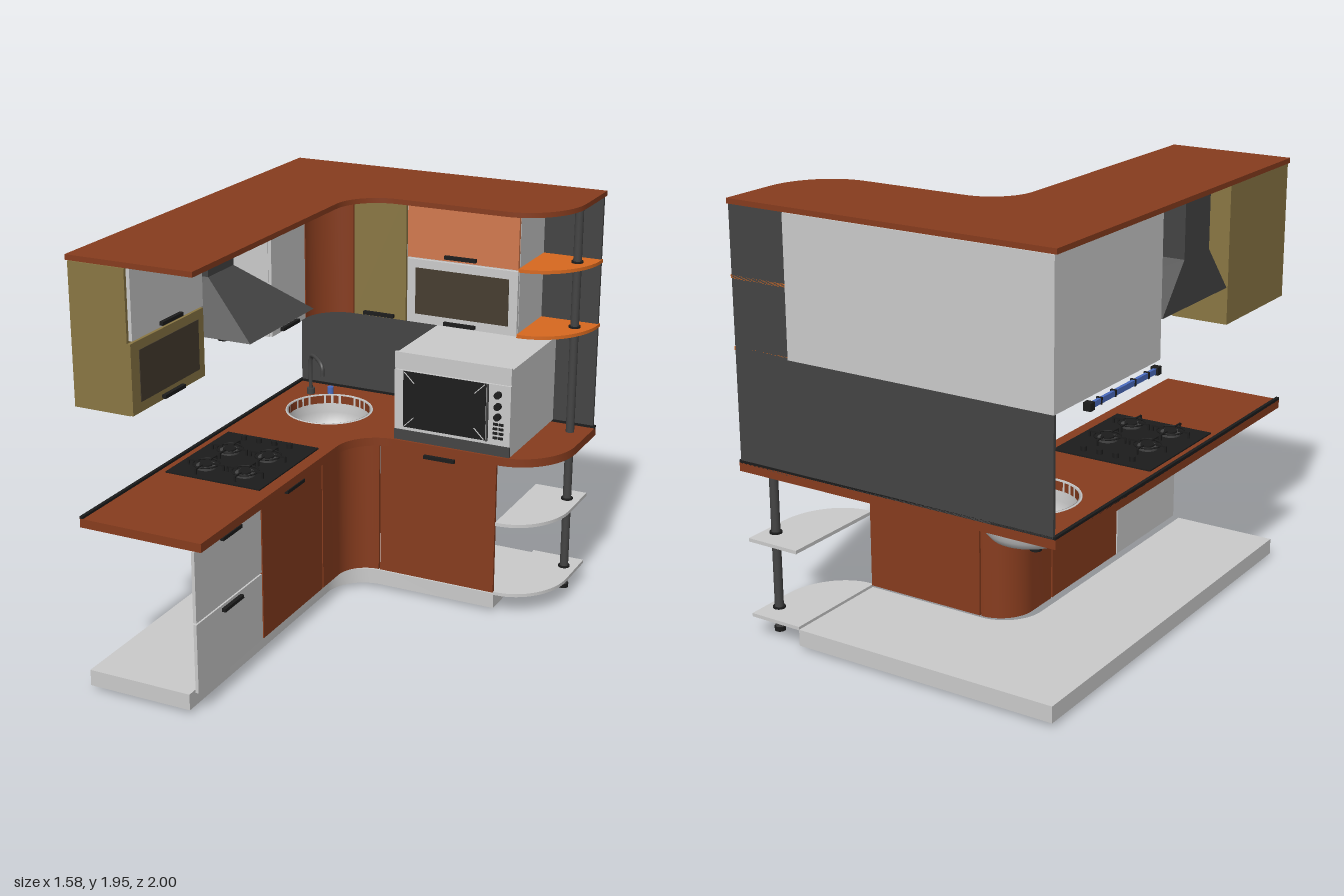
import * as THREE from 'three';
import { toCreasedNormals } from 'three/addons/utils/BufferGeometryUtils.js';

const C = { grey: 0xcccccc, brown: 0x873c1e, olive: 0x8a7744, dark: 0x444444, black: 0x1c1c1c,
  glass: 0x463d30, salmon: 0xd37a4f, orange: 0xd8691f, blue: 0x4a6cc0 };
const mats = {};
const mat = (c) => (mats[c] ??= new THREE.MeshStandardMaterial({ color: C[c], side: THREE.DoubleSide }));

export function createModel() {
  const root = new THREE.Group();

  const add = (name, geo, color, x = 0, y = 0, z = 0) => {
    const m = new THREE.Mesh(geo, mat(color));
    m.name = name;
    m.position.set(x, y, z);
    root.add(m);
    return m;
  };
  const box = (name, color, x0, x1, y0, y1, z0, z1) =>
    add(name, new THREE.BoxGeometry(x1 - x0, y1 - y0, z1 - z0), color, (x0 + x1) / 2, (y0 + y1) / 2, (z0 + z1) / 2);
  const cyl = (name, color, r, h, x, y, z, r2 = r, seg = 20) =>
    add(name, new THREE.CylinderGeometry(r, r2, h, seg), color, x, y, z);

  // Horizontal slab: shape drawn in (x, z), filling y0..y1
  const slab = (name, color, shape, y0, y1) => {
    const g = new THREE.ExtrudeGeometry(shape, { depth: y1 - y0, bevelEnabled: false, curveSegments: 16 });
    g.rotateX(Math.PI / 2);
    return add(name, toCreasedNormals(g, 0.5), color, 0, y1, 0);
  };
  // Quarter ellipse from the current point to (x, z), bulging towards the corner (cx, cz)
  const quarter = (s, cx, cz, x, z) => {
    const p = s.currentPoint, k = 0.552;
    s.bezierCurveTo(p.x + (cx - p.x) * k, p.y + (cz - p.y) * k, x + (cx - x) * k, z + (cz - z) * k, x, z);
  };
  // L-shaped plan with a rounded inner corner and an optional rounded outer end
  const lShape = ({ x0 = -0.79, x1, xi, zi, r, zEnd, rx = 0, rz = 0 }) => {
    const s = new THREE.Shape();
    s.moveTo(x0, -1);
    s.lineTo(x1, -1);
    s.lineTo(x1, zi - rz);
    if (rx) quarter(s, x1, zi, x1 - rx, zi);
    s.lineTo(xi + r, zi);
    quarter(s, xi, zi, xi, zi + r);
    s.lineTo(xi, zEnd);
    s.lineTo(x0, zEnd);
    s.closePath();
    return s;
  };
  // Thin concave corner door from (xi, zA) round to (xB, zi)
  const cornerDoor = (name, xi, zi, r, zA, xB, y0, y1, t = 0.015) => {
    const s = new THREE.Shape();
    s.moveTo(xi, zA);
    s.lineTo(xi, zi + r);
    quarter(s, xi, zi, xi + r, zi);
    s.lineTo(xB, zi);
    s.lineTo(xB, zi - t);
    s.lineTo(xi + r, zi - t);
    quarter(s, xi - t, zi - t, xi - t, zi + r);
    s.lineTo(xi - t, zA);
    s.closePath();
    slab(name, 'brown', s, y0, y1);
  };
  const handleX = (x, y, z) => box('handle', 'black', x - 0.078, x + 0.078, y - 0.008, y + 0.008, z, z + 0.018);
  const handleZ = (x, y, z) => box('handle', 'black', x, x + 0.018, y - 0.008, y + 0.008, z - 0.08, z + 0.08);

  // Plinth, worktop and cornice
  const plan = { x1: 0.79, xi: -0.2, zi: -0.43, r: 0.2, zEnd: 1, rx: 0.27, rz: 0.29 };
  slab('plinth', 'grey', lShape({ x0: -0.78, x1: 0.5, xi: -0.28, zi: -0.475, r: 0.19, zEnd: 1 }), 0.02, 0.095);
  const top = lShape(plan), SX = -0.46, SZ = -0.66;
  top.holes.push(new THREE.Path().absarc(SX, SZ, 0.2, 0, Math.PI * 2, true));
  slab('worktop', 'brown', top, 0.767, 0.807);
  slab('cornice', 'brown', lShape(plan), 1.93, 1.953);
  box('worktopEdgeStrip', 'black', -0.79, -0.775, 0.8, 0.818, -1, 1);
  box('worktopBackStrip', 'black', -0.79, 0.79, 0.8, 0.818, -1, -0.98);

  // Back wall panels
  box('splashback', 'dark', -0.78, 0.78, 0.8, 1.31, -1, -0.985);
  box('shelfBackPanel', 'dark', 0.5, 0.78, 1.31, 1.93, -1, -0.985);

  // Lower fronts
  box('lowerDrawer', 'grey', -0.255, -0.24, 0.105, 0.425, 0.43, 0.99);
  box('upperDrawer', 'grey', -0.255, -0.24, 0.433, 0.757, 0.43, 0.99);
  box('sideDoor', 'brown', -0.255, -0.24, 0.105, 0.757, -0.15, 0.42);
  cornerDoor('lowerCornerDoor', -0.24, -0.465, 0.145, -0.16, -0.095, 0.105, 0.757);
  box('backDoor', 'brown', -0.087, 0.5, 0.105, 0.757, -0.48, -0.465);
  handleZ(-0.24, 0.735, 0.7);
  handleZ(-0.24, 0.403, 0.7);
  handleZ(-0.24, 0.735, 0.13);
  handleX(0.217, 0.735, -0.465);

  // Corner wall cabinets
  slab('cornerWallCabinet', 'grey', lShape({ x0: -0.78, x1: 0.5, xi: -0.516, zi: -0.686, r: 0.17, zEnd: -0.17 }), 1.31, 1.928);
  box('leftWallDoor', 'grey', -0.516, -0.5, 1.312, 1.925, -0.495, -0.172);
  cornerDoor('upperCornerDoor', -0.5, -0.67, 0.168, -0.502, -0.332, 1.312, 1.925);
  box('oliveDoor', 'olive', -0.328, -0.06, 1.312, 1.925, -0.686, -0.67);
  box('liftDoor', 'salmon', -0.052, 0.498, 1.625, 1.925, -0.686, -0.67);
  box('glassDoorFrame', 'grey', -0.052, 0.498, 1.312, 1.617, -0.686, -0.67);
  box('glassPane', 'glass', -0.01, 0.455, 1.355, 1.577, -0.675, -0.667);
  handleZ(-0.5, 1.327, -0.33);
  handleX(-0.195, 1.327, -0.67);
  handleX(0.217, 1.645, -0.67);
  handleX(0.217, 1.327, -0.67);

  // End wall cabinet
  box('endWallCabinet', 'olive', -0.78, -0.514, 1.31, 1.928, 0.432, 1);
  box('endLiftDoor', 'grey', -0.514, -0.498, 1.625, 1.925, 0.434, 0.985);
  box('endGlassDoor', 'olive', -0.514, -0.498, 1.312, 1.617, 0.434, 1);
  box('endGlassPane', 'glass', -0.502, -0.495, 1.355, 1.577, 0.48, 0.94);
  handleZ(-0.498, 1.643, 0.7);
  handleZ(-0.498, 1.327, 0.7);

  // Cooker hood: chimney above a canopy tapered from a box
  box('hoodChimney', 'dark', -0.78, -0.585, 1.69, 1.93, 0.02, 0.24);
  const canopy = new THREE.BoxGeometry(0.5, 0.21, 0.58).translate(0.25, 0.105, 0);
  const p = canopy.attributes.position;
  for (let i = 0; i < p.count; i++) {
    if (p.getY(i) > 0.1) {
      p.setX(i, p.getX(i) * 0.39);
      p.setZ(i, p.getZ(i) * 0.38);
    }
  }
  canopy.computeVertexNormals();
  add('hoodCanopy', canopy, 'dark', -0.78, 1.48, 0.13);

  // Rounded end shelves
  const shelf = (name, color, x1, zf, rx, rz, y) => {
    const s = new THREE.Shape();
    s.moveTo(0.5, -1);
    s.lineTo(x1, -1);
    s.lineTo(x1, zf - rz);
    quarter(s, x1, zf, x1 - rx, zf);
    s.lineTo(0.5, zf);
    s.closePath();
    slab(name, color, s, y - 0.008, y + 0.008);
  };
  for (const y of [1.315, 1.625]) shelf('upperShelf', 'orange', 0.785, -0.665, 0.28, 0.31, y);
  for (const y of [0.1, 0.455]) shelf('lowerShelf', 'grey', 0.76, -0.47, 0.25, 0.29, y);

  // Shelf pole with collars and foot
  cyl('pole', 'dark', 0.02, 1.92, 0.7, 0.97, -0.89);
  for (const y of [0.1, 0.455, 0.787, 1.315, 1.625]) cyl('poleCollar', 'black', 0.028, 0.032, 0.7, y, -0.89);
  cyl('poleFoot', 'black', 0.025, 0.02, 0.7, 0.01, -0.89);

  // Sink bowl with drain
  const bowl = [[0, 0.625], [0.12, 0.627], [0.165, 0.64], [0.19, 0.67], [0.2, 0.72], [0.2, 0.808], [0.212, 0.812], [0.214, 0.807]]
    .map(([r, y]) => new THREE.Vector2(r, y));
  add('sinkBowl', new THREE.LatheGeometry(bowl, 40), 'grey', SX, 0, SZ);
  cyl('drain', 'black', 0.036, 0.012, -0.52, 0.62, -0.71);
  cyl('drainOutlet', 'black', 0.025, 0.02, -0.52, 0.61, -0.71);

  // Tap
  const spout = new THREE.CatmullRomCurve3([[-0.65, 0.81, -0.83], [-0.65, 0.97, -0.83], [-0.642, 1.005, -0.823],
    [-0.62, 1.015, -0.805], [-0.555, 1.01, -0.745], [-0.533, 0.99, -0.728], [-0.53, 0.945, -0.725]].map((v) => new THREE.Vector3(...v)));
  add('tapSpout', new THREE.TubeGeometry(spout, 40, 0.01, 10), 'dark');
  cyl('tapBase', 'dark', 0.02, 0.03, -0.65, 0.822, -0.83);
  cyl('tapLever', 'blue', 0.016, 0.035, -0.56, 0.825, -0.87);

  // Hob with four burners, grates and a row of knobs
  box('hobPlate', 'black', -0.74, -0.26, 0.805, 0.813, -0.16, 0.4);
  for (const x of [-0.6, -0.4]) for (const z of [0.28, 0.07]) {
    cyl('burner', 'dark', 0.045, 0.014, x, 0.82, z);
    cyl('burnerCap', 'black', 0.03, 0.008, x, 0.83, z);
    const ring = add('grateRing', new THREE.TorusGeometry(0.06, 0.004, 6, 24), 'black', x, 0.834, z);
    ring.rotation.x = Math.PI / 2;
    for (let i = 0; i < 4; i++) {
      const a = i * Math.PI / 2, c = Math.cos(a), s = Math.sin(a);
      const bar = add('grateBar', new THREE.BoxGeometry(0.055, 0.007, 0.007), 'black', x + c * 0.064, 0.838, z + s * 0.064);
      bar.rotation.y = -a;
      box('grateLeg', 'black', x + c * 0.09 - 0.004, x + c * 0.09 + 0.004, 0.812, 0.84, z + s * 0.09 - 0.004, z + s * 0.09 + 0.004);
    }
  }
  for (let i = 0; i < 4; i++) cyl('hobKnob', 'black', 0.014, 0.024, -0.62 + i * 0.08, 0.822, -0.1);

  // Microwave oven
  box('ovenBody', 'grey', 0.005, 0.58, 0.818, 1.235, -0.98, -0.425);
  box('ovenBaseStrip', 'dark', 0.005, 0.58, 0.818, 0.868, -0.425, -0.415);
  box('ovenFace', 'grey', 0.005, 0.58, 0.87, 1.16, -0.425, -0.415);
  box('ovenTopStrip', 'grey', 0.005, 0.58, 1.165, 1.245, -0.43, -0.417);
  box('ovenWindow', 'black', 0.05, 0.46, 0.885, 1.158, -0.42, -0.412);
  for (const sx of [-1, 1]) for (const sy of [-1, 1]) {
    const line = add('ovenWindowCorner', new THREE.BoxGeometry(0.07, 0.004, 0.003), 'grey', 0.255 + sx * 0.175, 1.021 + sy * 0.108, -0.411);
    line.rotation.z = sx * sy * 0.78;
  }
  box('ovenHandle', 'dark', 0.466, 0.474, 0.885, 1.158, -0.415, -0.405);
  for (const y of [1.115, 1.06, 1.01]) {
    const knob = cyl('ovenKnob', 'black', 0.016, 0.025, 0.522, y, -0.404);
    knob.rotation.x = Math.PI / 2;
  }
  for (let i = 0; i < 4; i++) for (const x of [0.51, 0.538])
    box('ovenButton', 'black', x - 0.011, x + 0.011, 0.9 + i * 0.022, 0.912 + i * 0.022, -0.416, -0.41);

  // Utensil rail on the left side
  box('rail', 'blue', -0.782, -0.768, 1.257, 1.281, -0.73, -0.19);
  for (const z of [-0.73, -0.19]) box('railEnd', 'black', -0.79, -0.755, 1.252, 1.286, z - 0.016, z + 0.016);
  for (const z of [-0.65, -0.54, -0.38, -0.27]) box('railClip', 'black', -0.785, -0.76, 1.255, 1.284, z - 0.005, z + 0.005);

  return root;
}
